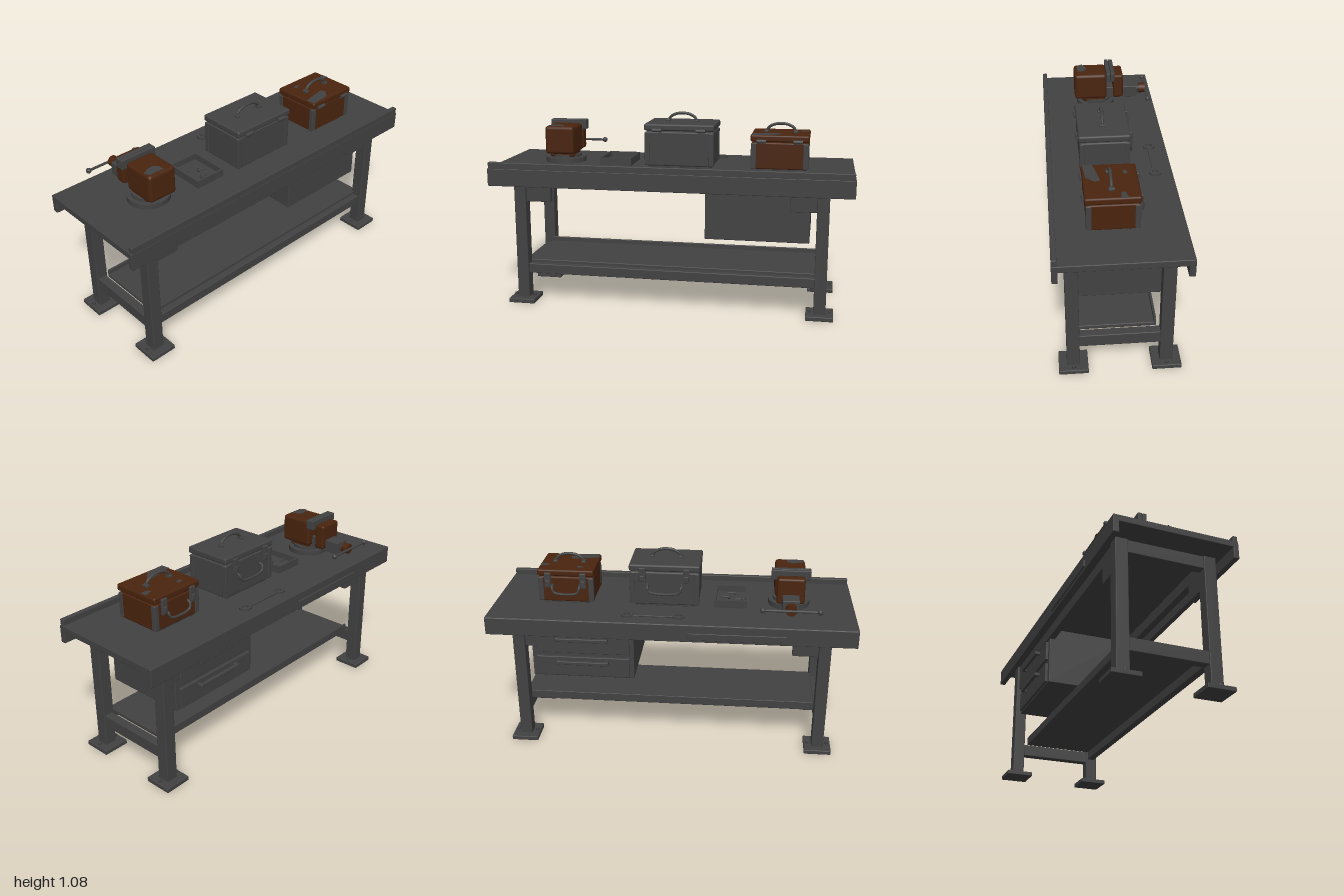
import * as THREE from 'three';
import { RoundedBoxGeometry } from 'three/addons/geometries/RoundedBoxGeometry.js';

const steel = new THREE.MeshStandardMaterial({ color: 0x424242 });
steel.name = 'dark steel';
const rust = new THREE.MeshStandardMaterial({ color: 0x4a240e });
rust.name = 'rust brown paint';

function add(parent, name, geometry, material = steel, x = 0, y = 0, z = 0) {
  const mesh = new THREE.Mesh(geometry, material);
  mesh.name = name;
  mesh.position.set(x, y, z);
  parent.add(mesh);
  return mesh;
}

// Box given by its limits on each axis, optionally with rounded edges
function box(parent, name, [x0, x1], [y0, y1], [z0, z1], material = steel, r = 0.004) {
  const size = [x1 - x0, y1 - y0, z1 - z0];
  const geometry = r ? new RoundedBoxGeometry(...size, 2, r) : new THREE.BoxGeometry(...size);
  return add(parent, name, geometry, material, (x0 + x1) / 2, (y0 + y1) / 2, (z0 + z1) / 2);
}

// Cylinder lying along the x, y or z axis
function rod(parent, name, axis, r, length, x, y, z, material = steel, sides = 20) {
  const geometry = new THREE.CylinderGeometry(r, r, length, sides);
  if (axis === 'x') geometry.rotateZ(Math.PI / 2);
  if (axis === 'z') geometry.rotateX(Math.PI / 2);
  return add(parent, name, geometry, material, x, y, z);
}

// Thin worn patch lying on a top face, outline in x and z
function patch(parent, points, y) {
  const shape = new THREE.Shape(points.map(([x, z]) => new THREE.Vector2(x, -z)));
  const geometry = new THREE.ExtrudeGeometry(shape, { depth: 0.003, bevelEnabled: false });
  geometry.rotateX(-Math.PI / 2);
  add(parent, 'wornPatch', geometry, steel, 0, y, 0);
}

function group(parent, name) {
  const g = new THREE.Group();
  g.name = name;
  parent.add(g);
  return g;
}

function buildBench(root) {
  const g = group(root, 'bench');
  box(g, 'tabletop', [-1, 1], [0.75, 0.787], [-0.335, 0.34]);
  box(g, 'frontApron', [-1, 1], [0.687, 0.785], [0.313, 0.343]);
  box(g, 'backApron', [-1, 1], [0.687, 0.785], [-0.336, -0.304]);
  box(g, 'frontLip', [-0.995, 0.995], [0.78, 0.82], [0.315, 0.342]);
  box(g, 'edgePlate', [-0.625, -0.1], [0.703, 0.742], [-0.345, -0.335], steel, 0.003);

  // Legs with foot plates, bolts and gussets
  for (const s of [-1, 1]) {
    for (const z of [-0.238, 0.248]) {
      const x = s * 0.838;
      box(g, 'leg', [x - 0.033, x + 0.033], [0.025, 0.752], [z - 0.034, z + 0.034]);
      box(g, 'footPlate', [x - 0.075, x + 0.075], [0.005, 0.03], [z - 0.077, z + 0.077]);
      for (const dx of [-0.055, 0.055])
        rod(g, 'footBolt', 'y', 0.01, 0.014, x + dx, 0.036, z, steel, 6);
      const gx = s * 0.735;
      box(g, 'gusset', [gx - 0.07, gx + 0.07], [0.59, 0.75], [z - 0.02, z + 0.02]);
    }
    const x = s * 0.838;
    box(g, 'upperSideRail', [x - 0.025, x + 0.025], [0.68, 0.752], [-0.21, 0.22]);
    box(g, 'lowerSideRail', [x - 0.025, x + 0.025], [0.15, 0.22], [-0.21, 0.22]);
  }
  for (const z of [-0.238, 0.248])
    box(g, 'upperLongRail', [-0.81, 0.81], [0.685, 0.752], [z - 0.02, z + 0.02]);

  // Lower shelf with its upturned back edge
  box(g, 'lowerFrontRail', [-0.81, 0.81], [0.17, 0.225], [0.225, 0.265]);
  box(g, 'shelf', [-0.81, 0.81], [0.218, 0.241], [-0.187, 0.225]);
  box(g, 'shelfLip', [-0.81, 0.81], [0.23, 0.267], [-0.187, -0.175], steel, 0.003);

  // Drawer cabinet opening towards the back
  box(g, 'cabinet', [0.2, 0.77], [0.407, 0.752], [-0.25, 0.222]);
  for (const y of [0.475, 0.615]) {
    box(g, 'drawerFront', [0.225, 0.745], [y - 0.058, y + 0.058], [-0.265, -0.245]);
    box(g, 'drawerHandle', [0.34, 0.63], [y + 0.022, y + 0.042], [-0.295, -0.277]);
    for (const x of [0.35, 0.62])
      box(g, 'handleMount', [x - 0.01, x + 0.01], [y + 0.022, y + 0.042], [-0.285, -0.26]);
  }
}

function buildToolbox(root, name, [x0, x1], bodyTop, lidBottom, lidTop, material) {
  const g = group(root, name);
  const cx = (x0 + x1) / 2, z0 = -0.103, z1 = 0.165;
  box(g, 'toolboxBase', [x0 + 0.03, x1 - 0.03], [0.785, 0.805], [-0.088, 0.145]);
  box(g, 'toolboxBody', [x0 + 0.006, x1 - 0.006], [0.797, bodyTop], [z0 + 0.004, z1 - 0.004], material, 0.008);
  box(g, 'toolboxLid', [x0, x1], [lidBottom, lidTop], [z0 - 0.003, z1 + 0.006], material, 0.01);

  // Corner guards
  for (const [xa, xb] of [[x0 + 0.003, x0 + 0.032], [x1 - 0.032, x1 - 0.003]])
    for (const [za, zb] of [[z0, z0 + 0.028], [z1 - 0.028, z1]])
      box(g, 'cornerGuard', [xa, xb], [0.8, bodyTop - 0.004], [za, zb]);

  // Hinges on one side, latches on the other
  const spread = (x1 - x0) * 0.31;
  for (const x of [cx - spread, cx + spread]) {
    rod(g, 'hinge', 'x', 0.01, 0.052, x, lidBottom + 0.003, z1 + 0.009);
    box(g, 'latch', [x - 0.018, x + 0.018], [lidBottom - 0.065, lidTop - 0.015], [z0 - 0.016, z0]);
    box(g, 'latchClasp', [x - 0.012, x + 0.012], [lidBottom - 0.055, lidBottom - 0.02], [z0 - 0.022, z0 - 0.01]);
  }

  // Side grip below the latches
  const gy = (0.8 + bodyTop) / 2, w = (x1 - x0) * 0.24;
  const grip = new THREE.CatmullRomCurve3([
    [-w, 0.025, 0.01], [-w, 0.012, -0.014], [-w + 0.012, -0.015, -0.018],
    [w - 0.012, -0.015, -0.018], [w, 0.012, -0.014], [w, 0.025, 0.01],
  ].map(p => new THREE.Vector3(...p)));
  add(g, 'sideGrip', new THREE.TubeGeometry(grip, 30, 0.007, 8), steel, cx, gy, z0);

  // Arched carrying handle
  const arch = new THREE.CatmullRomCurve3([
    [-0.08, -0.002], [-0.07, 0.024], [-0.038, 0.043], [0, 0.048], [0.038, 0.043], [0.07, 0.024], [0.08, -0.002],
  ].map(([x, y]) => new THREE.Vector3(x, y, 0)));
  add(g, 'carryHandle', new THREE.TubeGeometry(arch, 32, 0.008, 10), steel, cx, lidTop, 0.035);
  for (const s of [-1, 1])
    box(g, 'handleFoot', [cx + s * 0.08 - 0.012, cx + s * 0.08 + 0.012], [lidTop - 0.004, lidTop + 0.012], [0.019, 0.051]);
  return g;
}

function buildVise(root) {
  const g = group(root, 'vise');
  const x = -0.643;
  rod(g, 'swivelBase', 'y', 0.115, 0.03, x, 0.8, 0.02, steel, 32);
  rod(g, 'swivelRing', 'y', 0.09, 0.02, x, 0.822, 0.02, steel, 32);
  box(g, 'viseNeck', [x - 0.07, x + 0.07], [0.82, 0.88], [-0.035, 0.1], rust, 0.01);
  box(g, 'fixedJawBody', [x - 0.083, x + 0.083], [0.842, 1.0], [-0.045, 0.15], rust, 0.018);
  box(g, 'movingJawBody', [x - 0.075, x + 0.075], [0.845, 0.99], [-0.145, -0.085], rust, 0.012);
  for (const z of [-0.079, -0.053])
    box(g, 'jawPlate', [x - 0.106, x + 0.106], [0.963, 1.018], [z - 0.012, z + 0.012]);
  box(g, 'slideBar', [x - 0.045, x + 0.045], [0.83, 0.9], [-0.232, -0.03]);
  rod(g, 'leadScrew', 'z', 0.02, 0.05, x, 0.867, -0.245);
  for (const z of [-0.236, -0.244])
    add(g, 'screwThread', new THREE.TorusGeometry(0.022, 0.004, 6, 20), steel, x, 0.867, z);
  rod(g, 'screwHub', 'z', 0.03, 0.038, x, 0.867, -0.267, rust);
  rod(g, 'turnBar', 'x', 0.007, 0.3, x, 0.867, -0.288, steel, 12);
  for (const s of [-1, 1])
    add(g, 'turnBarKnob', new THREE.SphereGeometry(0.015, 16, 12), steel, x + s * 0.15, 0.867, -0.288);
  patch(g, [[-0.72, 0.1], [-0.685, 0.08], [-0.65, 0.075], [-0.625, 0.095], [-0.62, 0.13], [-0.705, 0.13]], 0.9985);
}

function buildTray(root) {
  const g = group(root, 'partsTray');
  box(g, 'trayFloor', [-0.41, -0.23], [0.785, 0.795], [-0.09, 0.14], steel, 0);
  for (const x of [-0.41, -0.24]) box(g, 'traySide', [x, x + 0.01], [0.785, 0.83], [-0.09, 0.14], steel, 0);
  for (const z of [-0.09, 0.13]) box(g, 'trayEnd', [-0.405, -0.235], [0.785, 0.83], [z, z + 0.01], steel, 0);
  // Loose screws
  for (const [x, z, turn] of [[-0.365, 0, 0.1], [-0.29, 0.03, -0.2], [-0.32, 0.085, 0.05]]) {
    const screw = group(g, 'screw');
    screw.position.set(x, 0.804, z);
    screw.rotation.y = turn;
    rod(screw, 'screwShank', 'x', 0.005, 0.04, 0, 0, 0, steel, 8);
    rod(screw, 'screwHead', 'x', 0.01, 0.01, -0.02, 0, 0, steel, 6);
  }
}

function buildWrench(root) {
  const g = group(root, 'ringWrench');
  for (const x of [-0.045, 0.235]) {
    const ring = new THREE.Shape().absarc(0, 0, 0.033, 0, Math.PI * 2);
    ring.holes.push(new THREE.Path().absarc(0, 0, 0.018, 0, Math.PI * 2, true));
    const geometry = new THREE.ExtrudeGeometry(ring, { depth: 0.012, bevelEnabled: false, curveSegments: 20 });
    geometry.rotateX(-Math.PI / 2);
    add(g, 'wrenchRing', geometry, steel, x, 0.786, -0.24);
  }
  box(g, 'wrenchShaft', [-0.016, 0.206], [0.786, 0.796], [-0.251, -0.229], steel, 0.003);
}

export function createModel() {
  const root = new THREE.Group();
  root.name = 'workbench';
  buildBench(root);
  buildToolbox(root, 'largeToolbox', [-0.15, 0.24], 0.987, 0.993, 1.03, steel);
  const small = buildToolbox(root, 'smallToolbox', [0.436, 0.752], 0.942, 0.947, 0.984, rust);
  // Worn paint on the small lid
  patch(small, [[0.44, 0.115], [0.5, 0.1], [0.59, 0.083], [0.6, 0.11], [0.56, 0.155], [0.445, 0.165]], 0.9825);
  patch(small, [[0.5, -0.05], [0.53, -0.058], [0.54, -0.04], [0.51, -0.032]], 0.9825);
  patch(small, [[0.7, -0.03], [0.745, -0.042], [0.748, -0.005], [0.7, -0.01]], 0.9825);
  buildVise(root);
  buildTray(root);
  buildWrench(root);
  return root;
}
